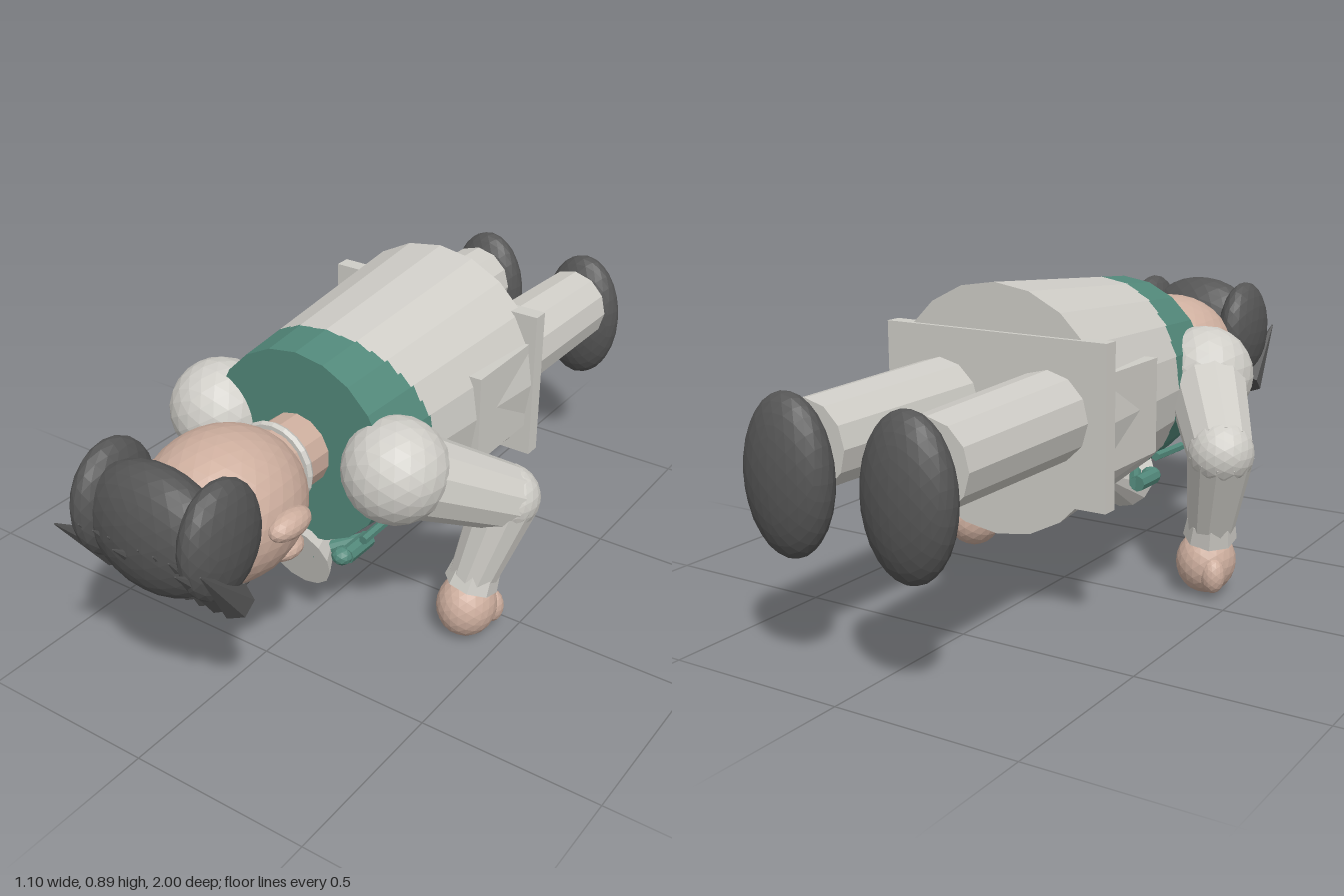
import * as THREE from 'three';

const mat = (name, color) => {
  const m = new THREE.MeshStandardMaterial({ color, flatShading: true });
  m.name = name;
  return m;
};

export function createModel() {
  const cloth = mat('pale cloth', 0xcfcdc7);
  const green = mat('green cloth', 0x52887a);
  const skin = mat('skin', 0xcdae9e);
  const dark = mat('charcoal', 0x555555);
  const root = new THREE.Group();
  root.name = 'lyingFigure';
  const V = (x, y, z) => new THREE.Vector3(x, y, z);

  const add = (name, geo, material, x = 0, y = 0, z = 0) => {
    const m = new THREE.Mesh(geo, material);
    m.name = name;
    m.position.set(x, y, z);
    root.add(m);
    return m;
  };
  const blob = (name, material, p, r, detail = 3) => {
    const m = add(name, new THREE.IcosahedronGeometry(1, detail), material, ...p);
    m.scale.set(...r);
    return m;
  };
  // Tapered limb from point a (radius ra) to point b (radius rb)
  const limb = (name, material, a, b, ra, rb, sides = 12) => {
    const A = V(...a), B = V(...b), d = B.clone().sub(A);
    const m = add(name, new THREE.CylinderGeometry(rb, ra, d.length(), sides), material);
    m.position.copy(A).add(B).multiplyScalar(0.5);
    m.quaternion.setFromUnitVectors(V(0, 1, 0), d.normalize());
    return m;
  };

  // Torso: tapered barrel along z, with a stepped edge between cloth and yoke
  const zBack = -0.34, zFront = 0.335, sides = 20, sub = 2;
  const ring = (i, z) => {
    const k = (z - zBack) / (zFront - zBack);
    const r = 0.333 + (0.272 - 0.333) * k;
    const corner = (n) => {
      const t = (n / sides) * Math.PI * 2;
      return V(Math.sin(t) * r, 0.562 + Math.cos(t) * r, z);
    };
    const n = Math.floor(i / sub);
    return corner(n).lerp(corner(n + 1), (i % sub) / sub);
  };
  const shell = (name, material, range, capZ, capFacing) => {
    const pts = [];
    const tri = (...v) => v.forEach((p) => pts.push(p.x, p.y, p.z));
    for (let i = 0; i < sides * sub; i++) {
      const t = ((i + 0.5) / (sides * sub)) * Math.PI * 2;
      const [z0, z1] = range(0.168 + 0.037 * Math.cos(2 * t));
      const a = ring(i, z0), b = ring(i + 1, z0), c = ring(i + 1, z1), d = ring(i, z1);
      tri(a, d, c);
      tri(a, c, b);
      const e = ring(i, capZ), f = ring(i + 1, capZ), o = V(0, 0.562, capZ);
      if (capFacing > 0) tri(o, f, e);
      else tri(o, e, f);
    }
    const g = new THREE.BufferGeometry();
    g.setAttribute('position', new THREE.Float32BufferAttribute(pts, 3));
    g.computeVertexNormals();
    add(name, g, material);
  };
  shell('torso', cloth, (edge) => [zBack, edge], zBack, -1);
  shell('yoke', green, (edge) => [edge, zFront], zFront, 1);

  // Hem plate and hip block
  add('hemPlate', new THREE.BoxGeometry(0.67, 0.43, 0.045), cloth, 0, 0.555, -0.33);
  add('hipBlock', new THREE.BoxGeometry(0.63, 0.255, 0.26), cloth, 0, 0.557, -0.18);

  // Neck, collar ring and head
  limb('neck', skin, [0, 0.56, 0.3], [0, 0.56, 0.46], 0.1, 0.1, 14);
  add('collarRing', new THREE.TorusGeometry(0.105, 0.012, 6, 20), cloth, 0, 0.56, 0.428);
  blob('head', skin, [0, 0.545, 0.635], [0.2, 0.195, 0.225], 5);

  // Cravat cone hanging under the chest
  limb('cravat', cloth, [0, 0.27, 0.15], [0, 0.242, 0.35], 0.005, 0.103, 14).rotation.x += 0.12;

  // Face, on the downward side
  limb('nose', skin, [0, 0.4, 0.63], [0, 0.335, 0.595], 0.035, 0.035, 10);
  blob('noseTip', skin, [0, 0.335, 0.59], [0.037, 0.033, 0.037], 2);
  limb('mouth', dark, [-0.05, 0.365, 0.525], [0.05, 0.365, 0.525], 0.008, 0.008, 6);

  // Hair cap
  blob('hairCap', dark, [0, 0.6, 0.865], [0.2, 0.17, 0.1], 4);

  // Fringe of slanted spikes
  for (let i = 0; i < 10; i++) {
    const x = -0.19 + i * 0.042;
    limb('fringeSpike', dark, [x, 0.445, 0.82], [x + (i - 4.5) * 0.004 + 0.012, 0.61, 0.965 + 0.03 * ((i * 3) % 4 === 0)],
      0.045, 0.002, 6);
  }

  for (const s of [-1, 1]) {
    // Head details
    blob('ear', skin, [s * 0.205, 0.565, 0.635], [0.038, 0.036, 0.07], 2);
    blob('cheek', skin, [s * 0.13, 0.445, 0.578], [0.055, 0.034, 0.06], 2);
    blob('sideHair', dark, [s * 0.163, 0.615, 0.835], [0.063, 0.153, 0.13]);
    limb('eyebrow', dark, [s * 0.035, 0.37, 0.73], [s * 0.135, 0.385, 0.73], 0.011, 0.009, 6);
    blob('eye', dark, [s * 0.075, 0.372, 0.67], [0.022, 0.014, 0.022], 1);

    // Arm
    blob('shoulder', cloth, [s * 0.283, 0.574, 0.303], [0.14, 0.14, 0.14]);
    limb('upperArm', cloth, [s * 0.3, 0.56, 0.28], [s * 0.46, 0.425, 0.045], 0.115, 0.09);
    blob('elbow', cloth, [s * 0.46, 0.425, 0.045], [0.09, 0.09, 0.09]);
    limb('forearm', cloth, [s * 0.46, 0.425, 0.045], [s * 0.405, 0.185, 0.11], 0.09, 0.064);
    limb('cuff', cloth, [s * 0.412, 0.215, 0.1], [s * 0.403, 0.165, 0.113], 0.066, 0.074, 8);
    blob('hand', skin, [s * 0.393, 0.092, 0.113], [0.082, 0.09, 0.088]);
    blob('thumb', skin, [s * 0.44, 0.072, 0.058], [0.034, 0.05, 0.033], 2);

    // Bow ends and chest trims
    limb('bowEnd', green, [s * 0.125, 0.25, 0.2], [s * 0.125, 0.25, 0.3], 0.024, 0.024, 8);
    blob('bowKnot', green, [s * 0.115, 0.25, 0.305], [0.03, 0.026, 0.03], 1);
    limb('bowLoop', green, [s * 0.04, 0.255, 0.345], [s * 0.12, 0.25, 0.2], 0.018, 0.018, 8);
    limb('chestTrim', green, [s * 0.2, 0.35, 0.17], [s * 0.2, 0.345, 0.33], 0.013, 0.013, 6);

    // Leg and shoe
    limb('leg', cloth, [s * 0.163, 0.568, -0.33], [s * 0.173, 0.563, -0.86], 0.121, 0.112);
    limb('legSeam', cloth, [s * 0.17, 0.452, -0.5], [s * 0.17, 0.452, -0.81], 0.01, 0.01, 6);
    blob('shoe', dark, [s * 0.173, 0.505, -0.927], [0.125, 0.2, 0.073], 4);
  }
  return root;
}
